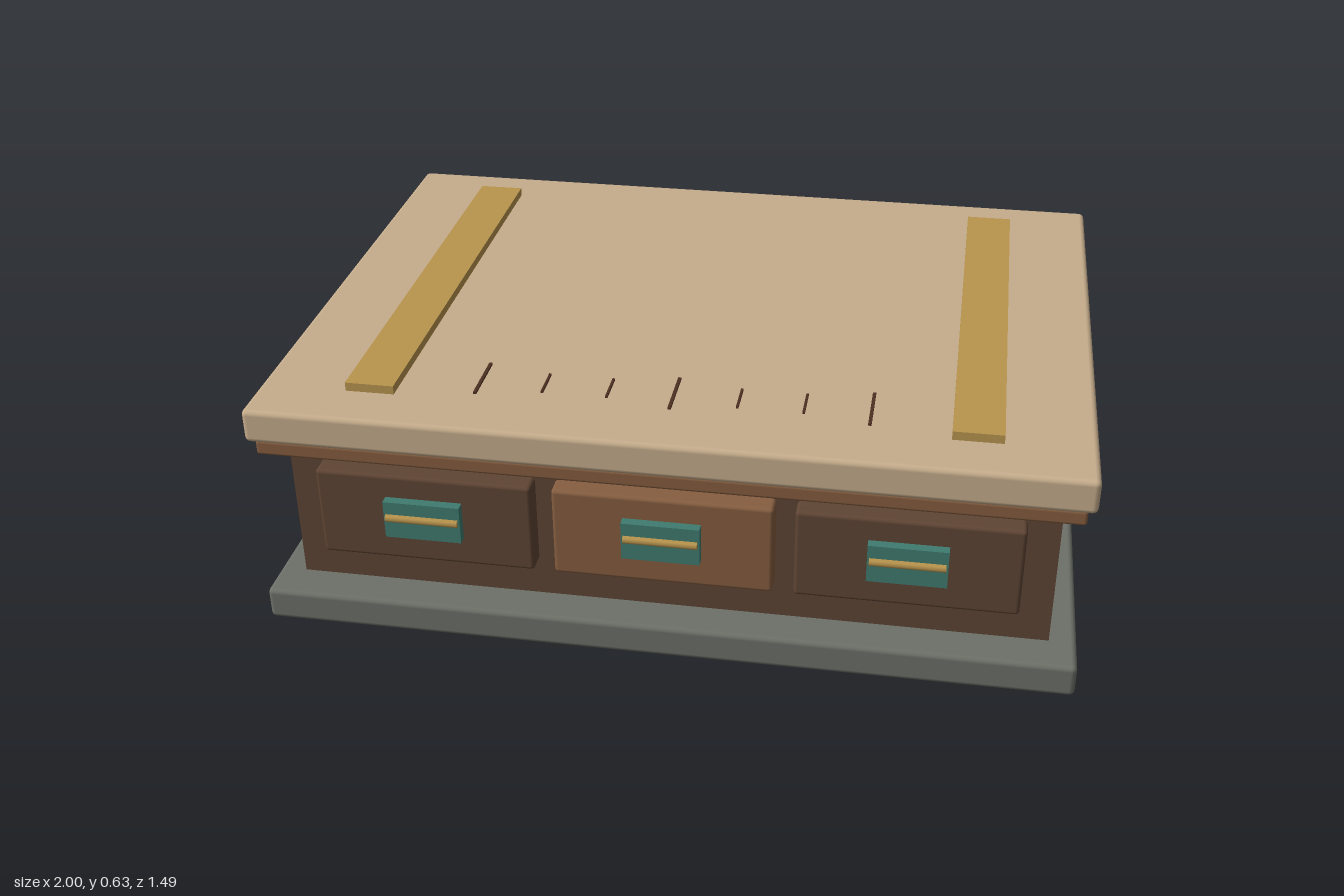
import * as THREE from 'three';
import { RoundedBoxGeometry } from 'three/addons/geometries/RoundedBoxGeometry.js';

const paint = (name, color) => {
  const m = new THREE.MeshStandardMaterial({ color });
  m.name = name;
  return m;
};

export function createModel() {
  const model = new THREE.Group();
  model.name = 'drawerChest';

  const stone = paint('grey stone', 0x6c7068);
  const darkWood = paint('dark wood', 0x5f4534);
  const midWood = paint('mid wood', 0x865e40);
  const paleTop = paint('pale top', 0xc6ad8c);
  const brass = paint('brass', 0xb9954e);
  const teal = paint('teal', 0x407b70);
  const ink = paint('dark mark', 0x4c3020);

  // Adds a box spanning y0..y1, with softened edges when r > 0
  const box = (parent, name, mat, w, y0, y1, d, x = 0, z = 0, r = 0) => {
    const h = y1 - y0;
    const geo = r ? new RoundedBoxGeometry(w, h, d, 2, r) : new THREE.BoxGeometry(w, h, d);
    const mesh = new THREE.Mesh(geo, mat);
    mesh.name = name;
    mesh.position.set(x, (y0 + y1) / 2, z);
    parent.add(mesh);
    return mesh;
  };

  // Plinth, carcass, moulding and top slab
  box(model, 'plinth', stone, 2, 0, 0.086, 1.494, 0, 0, 0.014);
  box(model, 'carcass', darkWood, 1.866, 0.07, 0.485, 1.296);
  box(model, 'moulding', midWood, 1.96, 0.476, 0.516, 1.466, 0, 0, 0.008);
  box(model, 'topSlab', paleTop, 2, 0.516, 0.604, 1.494, 0, 0, 0.014);

  // Brass rails on the top
  for (const s of [-1, 1]) box(model, 'topRail', brass, 0.12, 0.6, 0.626, 1.228, s * 0.725);

  // Scale marks near the front edge, every third one longer
  for (let i = -3; i <= 3; i++) {
    const long = i % 3 === 0;
    box(model, 'scaleMark', ink, long ? 0.008 : 0.006, 0.6, 0.609, long ? 0.15 : 0.09, i * 0.158, 0.506);
  }

  // Three drawers on the front, repeated on the back
  for (const turn of [0, Math.PI]) {
    const side = new THREE.Group();
    side.name = turn ? 'backDrawers' : 'frontDrawers';
    side.rotation.y = turn;
    for (const i of [-1, 0, 1]) {
      const x = i * 0.586;
      box(side, 'drawerFront', i ? darkWood : midWood, 0.536, 0.186, 0.424, 0.07, x, 0.663, 0.01);
      box(side, 'handlePlate', teal, 0.19, 0.264, 0.364, 0.03, x, 0.707);
      const bar = new THREE.Mesh(new THREE.CylinderGeometry(0.01, 0.01, 0.18, 8), brass);
      bar.name = 'handleBar';
      bar.rotation.z = Math.PI / 2;
      bar.position.set(x, 0.32, 0.722);
      side.add(bar);
    }
    model.add(side);
  }
  return model;
}
